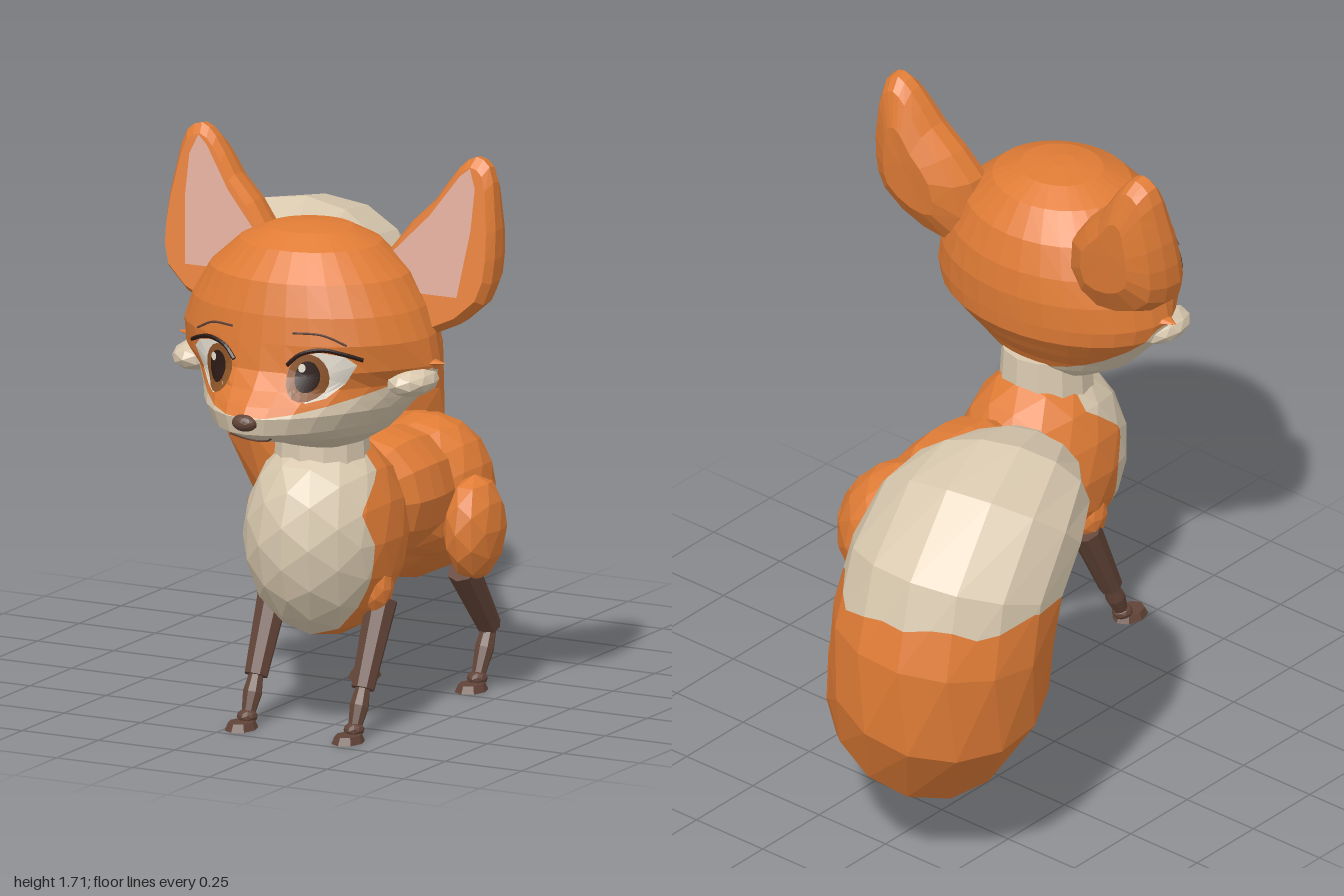
import * as THREE from 'three';

const V = (x, y, z) => new THREE.Vector3(x, y, z);
const paint = (name, color, side = THREE.FrontSide) => {
  const m = new THREE.MeshStandardMaterial({ color, side });
  m.name = name;
  return m;
};

// Faceted copy of a geometry
function facet(geo) {
  const g = geo.index ? geo.toNonIndexed() : geo;
  g.deleteAttribute('uv');
  g.computeVertexNormals();
  return g;
}

function add(parent, name, geo, mat) {
  const m = new THREE.Mesh(facet(geo), mat);
  m.name = name;
  parent.add(m);
}

const fromPoints = points => new THREE.BufferGeometry().setFromPoints(points);

// Closed skin over a list of equal-length rings, always facing outward
function loft(rings) {
  const tris = [], n = rings[0].length;
  for (let i = 0; i + 1 < rings.length; i++)
    for (let j = 0; j < n; j++) {
      const k = (j + 1) % n, a = rings[i][j], b = rings[i][k], c = rings[i + 1][k], d = rings[i + 1][j];
      tris.push([a, b, c], [a, c, d]);
    }
  const mid = r => r.reduce((s, p) => s.add(p), V(0, 0, 0)).divideScalar(n);
  const first = rings[0], last = rings[rings.length - 1], m0 = mid(first), m1 = mid(last);
  for (let j = 0; j < n; j++) {
    const k = (j + 1) % n;
    tris.push([m0, first[k], first[j]], [m1, last[j], last[k]]);
  }
  let volume = 0;
  for (const [a, b, c] of tris) volume += a.dot(b.clone().cross(c));
  return fromPoints(tris.flatMap(([a, b, c]) => (volume < 0 ? [a, c, b] : [a, b, c])));
}

// Split a geometry along f = 0 into [f >= 0, f < 0]
function cut(geo, f) {
  const pos = geo.attributes.position;
  return [1, -1].map(sign => {
    const out = [];
    for (let i = 0; i < pos.count; i += 3) {
      const tri = [0, 1, 2].map(k => new THREE.Vector3().fromBufferAttribute(pos, i + k));
      const val = tri.map(p => sign * f(p)), poly = [];
      for (let k = 0; k < 3; k++) {
        const n = (k + 1) % 3;
        if (val[k] >= 0) poly.push(tri[k]);
        if ((val[k] >= 0) !== (val[n] >= 0)) poly.push(tri[k].clone().lerp(tri[n], val[k] / (val[k] - val[n])));
      }
      for (let k = 1; k + 1 < poly.length; k++) out.push(poly[0], poly[k], poly[k + 1]);
    }
    return fromPoints(out);
  });
}

const ball = (rx, ry, rz, x, y, z, detail = 2) =>
  new THREE.IcosahedronGeometry(1, detail).scale(rx, ry, rz).translate(x, y, z);

// Tapered limb between two points
function limb(a, b, ra, rb) {
  const d = b.clone().sub(a);
  const q = new THREE.Quaternion().setFromUnitVectors(V(0, 1, 0), d.clone().normalize());
  return new THREE.CylinderGeometry(rb, ra, d.length(), 8).applyQuaternion(q)
    .translate(...a.clone().add(b).multiplyScalar(0.5).toArray());
}

// Head levels: y, half width, front z, back z, pointedness of the front
const HEAD = [
  [1.5, 0.03, 0.62, 0.55, 1], [1.488, 0.125, 0.69, 0.46, 1], [1.45, 0.21, 0.765, 0.39, 1],
  [1.37, 0.3, 0.835, 0.33, 1], [1.28, 0.355, 0.862, 0.3, 1], [1.2, 0.387, 0.875, 0.29, 1.1],
  [1.12, 0.402, 0.888, 0.295, 1.6], [1.07, 0.39, 0.925, 0.3, 2.5], [1.03, 0.355, 0.965, 0.33, 2.2],
  [1.0, 0.325, 0.985, 0.35, 1.8], [0.95, 0.28, 0.975, 0.39, 1.6], [0.915, 0.245, 0.89, 0.41, 1.3],
  [0.87, 0.17, 0.7, 0.44, 1], [0.84, 0.08, 0.62, 0.48, 1],
];
const HEAD_Z = 0.58;

// Point on the face at (x, y), lifted slightly off the skin
function onFace(x, y, lift) {
  const i = Math.max(1, HEAD.findIndex(r => r[0] <= y)), t = (y - HEAD[i - 1][0]) / (HEAD[i][0] - HEAD[i - 1][0]);
  const depth = ([, w, zf, , p]) => (zf - HEAD_Z) * Math.sqrt(Math.max(0, 1 - (x / w) ** 2)) ** p;
  const pt = V(x, y, HEAD_Z + depth(HEAD[i - 1]) * (1 - t) + depth(HEAD[i]) * t);
  return pt.add(pt.clone().sub(V(0, y, HEAD_Z)).setLength(lift));
}

// Thin painted patch following the face
function patch(outline, lift) {
  const n = outline.length, out = [], steps = 5;
  const cx = outline.reduce((s, p) => s + p[0], 0) / n, cy = outline.reduce((s, p) => s + p[1], 0) / n;
  const at = (j, k) => {
    const [x, y] = outline[j % n];
    return onFace(cx + (x - cx) * k / steps, cy + (y - cy) * k / steps, lift);
  };
  for (let j = 0; j < n; j++)
    for (let k = 0; k < steps; k++)
      out.push(at(j, k), at(j, k + 1), at(j + 1, k + 1), at(j, k), at(j + 1, k + 1), at(j + 1, k));
  return fromPoints(out);
}
const oval = (cx, cy, rx, ry, n = 18) => Array.from({ length: n }, (_, i) => {
  const a = i / n * Math.PI * 2;
  return [cx + rx * Math.cos(a), cy + ry * Math.sin(a)];
});
const stroke = (pts, r) => new THREE.TubeGeometry(
  new THREE.CatmullRomCurve3(pts.map(([x, y]) => onFace(x, y, 0.006))), 14, r, 5);

export function createModel() {
  const orange = paint('orange fur', 0xe07c36), cream = paint('cream fur', 0xd8c8ae);
  const brown = paint('brown', 0x624438), pink = paint('pink ear', 0xdba898, THREE.DoubleSide);
  const white = paint('eye white', 0xe6dfd2, THREE.DoubleSide);
  const amber = paint('iris', 0x8c5428, THREE.DoubleSide), dark = paint('dark', 0x2c1a14, THREE.DoubleSide);
  const model = new THREE.Group();
  const fox = new THREE.Group();
  fox.name = 'bodyAndHead';
  fox.position.x = 0.215;
  model.add(fox);

  // Head with cream muzzle and cheeks
  const headRings = HEAD.map(([y, w, zf, zb, p]) => Array.from({ length: 32 }, (_, i) => {
    const a = i / 32 * Math.PI * 2, c = Math.cos(a);
    return V(w * Math.sin(a), y, HEAD_Z + (c > 0 ? (zf - HEAD_Z) * c ** p : (HEAD_Z - zb) * c));
  }));
  const [muzzle, skull] = cut(loft(headRings),
    p => Math.min(1 + 0.7 * p.x * p.x - p.y, p.z - 0.42 - 0.6 * (p.y - 0.92)));
  add(fox, 'muzzle', muzzle, cream);
  add(fox, 'skull', skull, orange);
  add(fox, 'nose', ball(0.04, 0.026, 0.03, 0, 0.985, 0.972), brown);
  add(fox, 'mouth', stroke([[-0.068, 0.94], [-0.035, 0.921], [0, 0.916], [0.035, 0.921], [0.068, 0.94]], 0.003), brown);

  // Ear outline and the depth of the shell layers behind its face
  const earOutline = new THREE.CatmullRomCurve3([[0.2, 1.2], [0.36, 1.19], [0.515, 1.29], [0.538, 1.42], [0.52, 1.58],
    [0.495, 1.68], [0.45, 1.705], [0.4, 1.67], [0.33, 1.57], [0.2, 1.42]].map(p => V(...p, 0)), true)
    .getPoints(20).slice(0, 20);
  const earFront = y => 0.54 - 0.22 * (y - 1.2);
  const earLayers = [[0.9, 0], [1, 0.03], [0.98, 0.08], [0.86, 0.13], [0.5, 0.165]];

  for (const s of [1, -1]) {
    const side = s > 0 ? 'left' : 'right';
    const flip = pts => pts.map(([x, y]) => [s * x, y]);

    // Ear shell and pink inner panel
    add(fox, side + 'Ear', loft(earLayers.map(([k, d]) => earOutline.map(({ x, y }) => {
      const X = 0.38 + (x - 0.38) * k, Y = 1.43 + (y - 1.43) * k;
      return V(s * X, Y, earFront(Y) - d * (1.1 - 1.8 * (Y - 1.2) ** 2));
    }))), orange);
    const panel = new THREE.ShapeGeometry(new THREE.Shape([[0.26, 1.31], [0.445, 1.31], [0.468, 1.5],
      [0.468, 1.62], [0.445, 1.675], [0.415, 1.65], [0.33, 1.53], [0.225, 1.42]].map(([x, y]) => new THREE.Vector2(s * x, y))));
    const pp = panel.attributes.position;
    for (let i = 0; i < pp.count; i++) pp.setZ(i, earFront(pp.getY(i)) + 0.005);
    add(fox, side + 'InnerEar', panel, pink);

    // Eye, lash and brow
    add(fox, side + 'EyeWhite', patch(flip([[0.262, 1.145], [0.235, 1.172], [0.17, 1.185], [0.12, 1.17],
      [0.1, 1.11], [0.115, 1.055], [0.15, 1.04], [0.19, 1.05], [0.23, 1.09]]), 0.004), white);
    add(fox, side + 'Iris', patch(oval(s * 0.142, 1.112, 0.054, 0.068), 0.007), amber);
    add(fox, side + 'Pupil', patch(oval(s * 0.142, 1.115, 0.032, 0.046), 0.01), dark);
    add(fox, side + 'EyeGlint', patch(oval(s * 0.142 - 0.015, 1.14, 0.01, 0.013, 10), 0.013), white);
    add(fox, side + 'Lash', stroke(flip([[0.085, 1.145], [0.12, 1.178], [0.18, 1.192], [0.23, 1.18], [0.275, 1.16]]), 0.0065), dark);
    add(fox, side + 'Brow', stroke(flip([[0.095, 1.238], [0.175, 1.235], [0.24, 1.205]]), 0.0035), brown);

    // Cheek tufts
    add(fox, side + 'CheekTuft', new THREE.ConeGeometry(0.06, 0.13, 6).scale(0.45, 1, 1.3)
      .rotateZ(-s * Math.PI / 2).translate(s * 0.375, 1.125, 0.57), orange);
    add(fox, side + 'LowerCheekTuft', ball(0.07, 0.045, 0.1, s * 0.35, 1.075, 0.61, 1), cream);

    // Shoulder and thigh
    add(fox, side + 'Shoulder', ball(0.055, 0.08, 0.06, s * 0.165, 0.42, 0.5, 1), orange);
    add(fox, side + 'Thigh', ball(0.082, 0.157, 0.122, s * 0.205, 0.492, -0.028, 1), orange);

    // Legs: hip, knee and ankle as [y, z]
    for (const [name, hip, knee, ankle] of [
      ['FrontLeg', [0.38, 0.475], [0.14, 0.588], [0.035, 0.635]],
      ['HindLeg', [0.37, -0.01], [0.17, -0.168], [0.035, -0.1]]]) {
      const leg = new THREE.Group();
      leg.name = side + name;
      fox.add(leg);
      const [a, b, c] = [hip, knee, ankle].map(([y, z]) => V(s * 0.175, y, z));
      const mid = b.clone().lerp(c, 0.45);
      add(leg, 'upperLeg', limb(a, b, 0.048, 0.035), brown);
      add(leg, 'upperShin', limb(b, mid, 0.022, 0.029), brown);
      add(leg, 'lowerShin', limb(mid, c, 0.029, 0.02), brown);
      add(leg, 'ankle', ball(0.03, 0.022, 0.032, c.x, 0.03, c.z + 0.005, 1), brown);
      add(leg, 'paw', new THREE.CylinderGeometry(0.036, 0.045, 0.022, 8).scale(1, 1, 1.35)
        .translate(c.x, 0.011, c.z + 0.04), brown);
    }
  }

  // Neck, chest with bib, barrel and hips
  add(fox, 'neck', new THREE.CylinderGeometry(0.13, 0.14, 0.16, 12).translate(0, 0.845, 0.51), cream);
  const [bib, chest] = cut(ball(0.228, 0.305, 0.275, 0, 0.565, 0.488),
    p => p.z - (p.y > 0.74 ? 0.49 : p.y > 0.66 ? 0.62 : 0.58));
  add(fox, 'bib', bib, cream);
  add(fox, 'chest', chest, orange);
  const barrel = [[0.14, -0.02], [0.172, 0.03], [0.184, 0.11], [0.184, 0.17], [0.174, 0.24], [0.14, 0.3]];
  add(fox, 'barrel', new THREE.LatheGeometry(barrel.map(p => new THREE.Vector2(...p)), 12)
    .rotateX(Math.PI / 2).translate(0, 0.615, 0), orange);
  add(fox, 'hips', ball(0.198, 0.212, 0.205, 0, 0.58, -0.11), orange);

  // Tail sections fanned around the curl: inner point, outer point, half width
  const sections = [
    [0.24, 0.55, -0.18, 0.22, 0.36, -0.2, 0.09], [0.15, 0.54, -0.3, 0.13, 0.28, -0.31, 0.13],
    [0.03, 0.55, -0.4, -0.02, 0.2, -0.48, 0.18], [-0.11, 0.58, -0.44, -0.2, 0.18, -0.66, 0.24],
    [-0.21, 0.64, -0.45, -0.42, 0.27, -0.85, 0.29], [-0.28, 0.7, -0.41, -0.52, 0.5, -0.97, 0.32],
    [-0.33, 0.78, -0.38, -0.5, 0.78, -0.99, 0.325], [-0.36, 0.85, -0.35, -0.48, 1.04, -0.91, 0.32],
    [-0.37, 0.88, -0.31, -0.44, 1.24, -0.7, 0.31], [-0.36, 0.89, -0.28, -0.38, 1.285, -0.48, 0.27],
    [-0.32, 0.9, -0.23, -0.32, 1.22, -0.29, 0.2], [-0.27, 0.93, -0.18, -0.27, 1.15, -0.18, 0.13],
    [-0.25, 0.98, -0.15, -0.25, 1.08, -0.15, 0.06],
  ].map(([a, b, c, d, e, f, width]) => ({
    centre: V(a + d, b + e, c + f).multiplyScalar(0.5), arm: V(d - a, e - b, f - c).multiplyScalar(0.5), width,
  }));
  const tailRings = sections.map(({ centre, arm, width }, i) => {
    const before = sections[Math.max(0, i - 1)].centre, after = sections[Math.min(sections.length - 1, i + 1)].centre;
    const across = after.clone().sub(before).cross(arm).setLength(width);
    return Array.from({ length: 14 }, (_, j) => {
      const a = j / 14 * Math.PI * 2;
      return centre.clone().addScaledVector(arm, Math.cos(a)).addScaledVector(across, Math.sin(a));
    });
  });
  const [tip, tail] = cut(loft(tailRings), p => Math.max(
    p.y - 0.9 - 0.05 * Math.sin(7 * Math.atan2(p.z + 0.65, p.x + 0.42)), Math.min(p.z + 0.33, p.y - 0.8)));
  add(model, 'tailTip', tip, cream);
  add(model, 'tail', tail, orange);
  return model;
}
